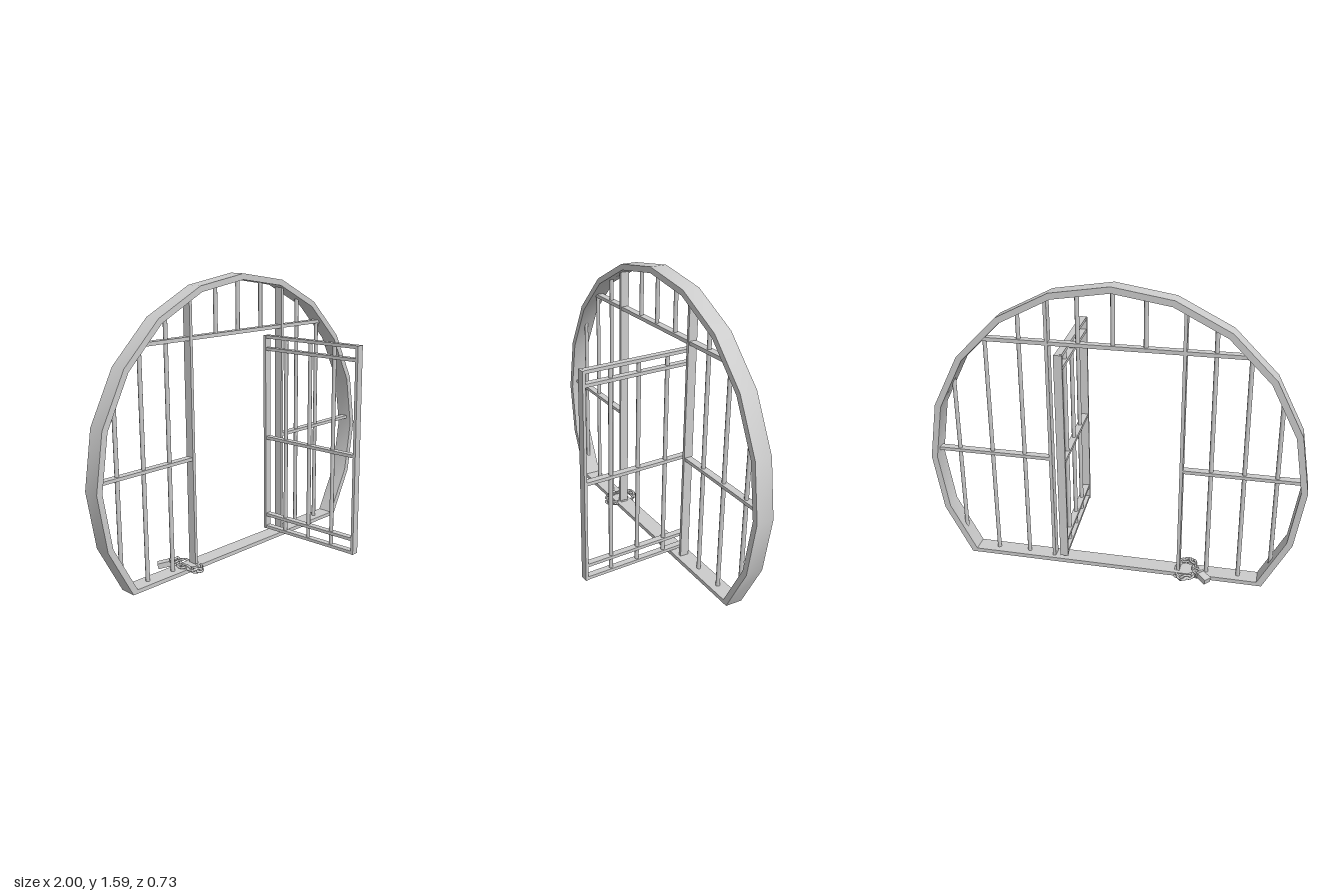
import * as THREE from 'three';
import { toCreasedNormals } from 'three/addons/utils/BufferGeometryUtils.js';

const material = new THREE.MeshStandardMaterial({ color: 0xcccccc });
const Z = -0.24; // mid-plane of the arch

function add(parent, name, geometry, x = 0, y = 0, z = 0) {
  const mesh = new THREE.Mesh(geometry, material);
  mesh.name = name;
  mesh.position.set(x, y, z);
  parent.add(mesh);
  return mesh;
}

const box = (parent, name, w, h, d, x, y, z) =>
  add(parent, name, new THREE.BoxGeometry(w, h, d), x, y, z);

// Upright round bar from y0 to y1
const bar = (parent, name, x, y0, y1, z) =>
  add(parent, name, new THREE.CylinderGeometry(0.0115, 0.0115, y1 - y0, 8), x, (y0 + y1) / 2, z);

// Twenty-sided ring outline, counter-clockwise, cut off flat at the sill
function archPoints(radius, bottom) {
  const points = [];
  for (let i = 7; i >= -7; i--) {
    const a = (i * Math.PI) / 10;
    const y = Math.abs(i) === 7 ? bottom : 0.6 + radius * Math.cos(a);
    points.push(new THREE.Vector2(radius * Math.sin(a), y));
  }
  return points;
}

function makeArch() {
  const shape = new THREE.Shape(archPoints(1, 0.018));
  shape.holes.push(new THREE.Path(archPoints(0.967, 0.04).reverse()));
  const geometry = new THREE.ExtrudeGeometry(shape, { depth: 0.095, bevelEnabled: false });
  return toCreasedNormals(geometry, 0.5);
}

// Door lies along local x, hinged at its origin
function makeDoor() {
  const door = new THREE.Group();
  door.name = 'door';
  const width = 0.652;
  for (const x of [0.008, width - 0.008]) box(door, 'doorStile', 0.016, 1.175, 0.044, x, 0.648, 0);
  for (const y of [0.069, 0.147, 0.628, 1.157, 1.227])
    box(door, 'doorRail', width - 0.03, 0.018, 0.036, width / 2, y, 0);
  for (const x of [0.151, 0.322, 0.486]) bar(door, 'doorBar', x, 0.065, 1.23, 0);
  door.position.set(0.272, 0, -0.285);
  door.rotation.y = -Math.PI / 2 + 0.053;
  return door;
}

// Chain looped round the door post, with alternate links turned on edge
function makeChain() {
  const chain = new THREE.Group();
  chain.name = 'chain';
  const link = new THREE.TorusGeometry(0.014, 0.006, 8, 14);
  link.scale(1.7, 1, 1);
  const count = 14;
  for (let i = 0; i < count; i++) {
    const a = (i / count) * Math.PI * 2;
    const x = 0.05 * Math.cos(a), z = 0.086 * Math.sin(a);
    const mesh = add(chain, 'chainLink', link, x, 0.038 - 0.2 * x + 0.006 * Math.sin(3 * a), z);
    mesh.rotation.order = 'YXZ';
    mesh.rotation.y = Math.atan2(-0.086 * Math.cos(a), -0.05 * Math.sin(a));
    mesh.rotation.x = i % 2 ? 1.3 : -0.3;
  }
  chain.position.set(-0.4, 0, Z);
  return chain;
}

// Padlock hangs outward and down from the back of the chain
function makePadlock() {
  const lock = new THREE.Group();
  lock.name = 'padlock';
  box(lock, 'padlockBody', 0.064, 0.03, 0.042, -0.036, 0, 0);
  box(lock, 'padlockCap', 0.01, 0.034, 0.046, -0.005, 0, 0);
  const path = new THREE.CatmullRomCurve3([
    [0, -0.016], [0.028, -0.016], [0.044, 0], [0.028, 0.016], [0, 0.016],
  ].map(([x, z]) => new THREE.Vector3(x, 0, z)));
  add(lock, 'shackle', new THREE.TubeGeometry(path, 16, 0.006, 8));
  lock.position.set(-0.478, 0.062, -0.298);
  lock.rotation.set(0, -0.7, 0.2, 'YXZ');
  return lock;
}

export function createModel() {
  const model = new THREE.Group();
  model.name = 'archedGate';

  add(model, 'archFrame', makeArch(), 0, 0, Z - 0.0475);

  // Lintel and side rails
  box(model, 'lintel', 1.36, 0.02, 0.04, 0, 1.285, Z);
  box(model, 'midRail', 0.63, 0.018, 0.04, -0.67, 0.64, Z);
  box(model, 'midRail', 0.64, 0.018, 0.04, 0.655, 0.64, Z);

  // Door posts
  for (const x of [-0.36, 0.335]) box(model, 'doorPost', 0.017, 1.48, 0.05, x, 0.77, Z);

  // Side bars: x, bottom, top
  const sideBars = [
    [-0.845, 0.13, 1.07], [-0.68, 0.03, 1.29], [-0.51, 0.03, 1.43],
    [0.485, 0.03, 1.44], [0.665, 0.03, 1.29], [0.85, 0.13, 1.07],
  ];
  for (const [x, y0, y1] of sideBars) bar(model, 'sideBar', x, y0, y1, Z);

  // Short bars over the doorway
  for (const [x, top] of [[-0.165, 1.55], [0, 1.58], [0.178, 1.55]])
    bar(model, 'upperBar', x, 1.285, top, Z);

  model.add(makeDoor(), makeChain(), makePadlock());
  return model;
}
